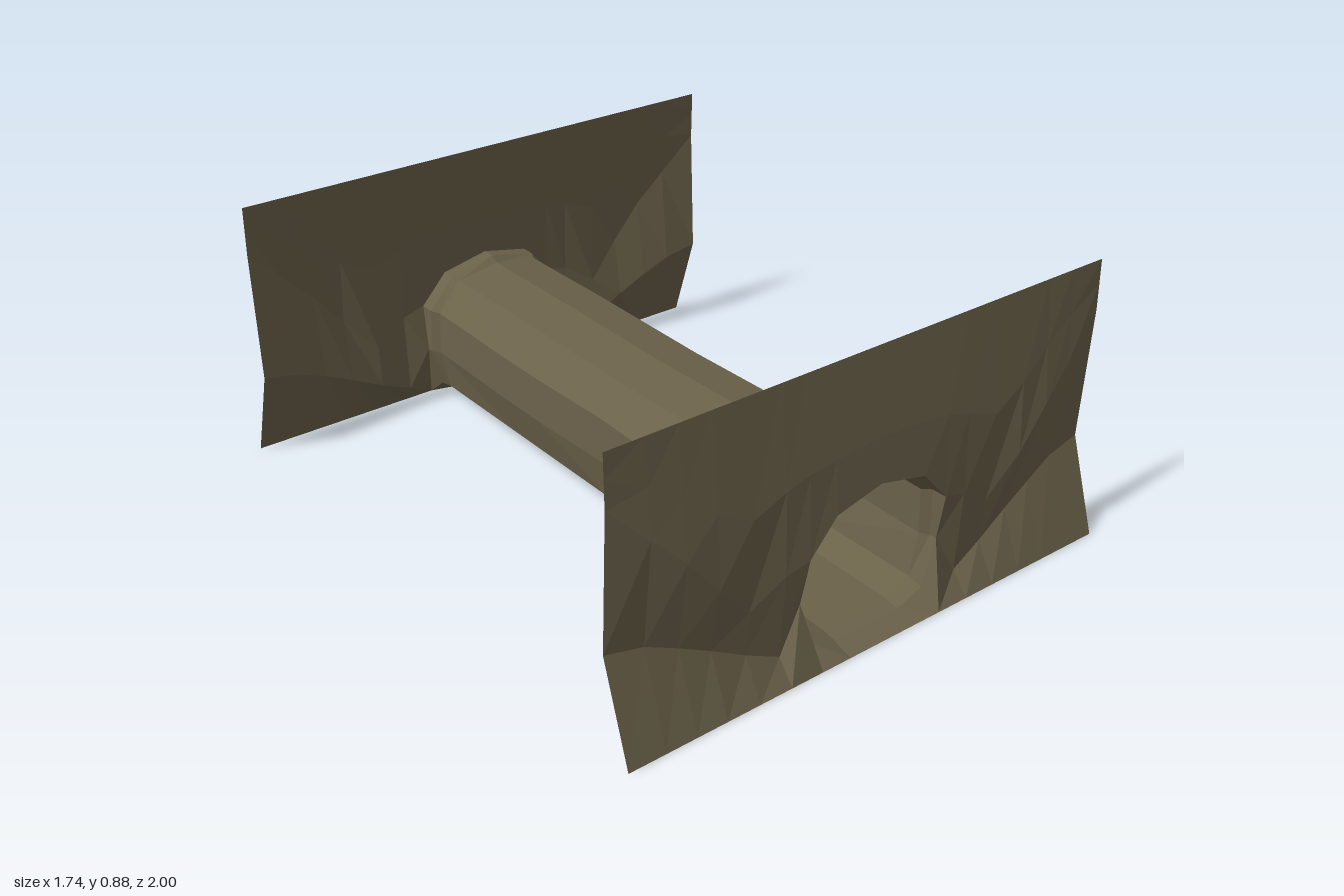
import * as THREE from 'three';

// Mouth outline of the hole, right half from floor to crown: x, y, z
const MOUTH = [
  [0.12, 0, 1], [0.22, 0, 1], [0.255, 0.2, 0.935],
  [0.25, 0.35, 0.962], [0.16, 0.45, 0.96], [0, 0.485, 0.957],
];
// Tunnel cross-section, right half, in the same order: x, y
const BORE = [[0.12, 0.03], [0.21, 0.065], [0.237, 0.2], [0.232, 0.345], [0.15, 0.443], [0, 0.467]];
const TOP = 0.875;

// Joins rows of points into a sheet; null entries leave gaps
function sheet(rows, material, name) {
  const pos = [];
  for (let i = 0; i < rows.length - 1; i++) {
    for (let j = 0; j < rows[i].length - 1; j++) {
      const a = rows[i][j], b = rows[i + 1][j], c = rows[i + 1][j + 1], d = rows[i][j + 1];
      if (!a || !b || !c || !d) continue;
      pos.push(...a, ...b, ...c, ...a, ...c, ...d);
    }
  }
  const geometry = new THREE.BufferGeometry();
  geometry.setAttribute('position', new THREE.Float32BufferAttribute(pos, 3));
  geometry.computeVertexNormals();
  const mesh = new THREE.Mesh(geometry, material);
  mesh.name = name;
  return mesh;
}

// Closed ring made by mirroring a right half profile
function ring(half) {
  const left = half.slice(0, -1).reverse().map(([x, y, z]) => [-x, y, z]);
  return [...half, ...left, half[0]];
}

// Columns of the end wall from the hole outwards
function wallColumns() {
  const [, foot, side, shoulder, haunch, crown] = MOUTH;
  const over = (p, midY, midZ) => [[p[0], midY, midZ], [p[0], TOP, 0.915]];
  const cols = [
    [null, null, crown, ...over(crown, 0.62, 0.946)],
    [null, null, haunch, ...over(haunch, 0.61, 0.947)],
    [foot, side, shoulder, ...over(shoulder, 0.6, 0.948)],
  ];
  // x, valley height and depth, ridge height and depth, upper height and depth
  const outer = [
    [0.33, 0.07, 0.945, 0.33, 0.958, 0.58, 0.949],
    [0.44, 0.12, 0.935, 0.26, 0.944, 0.54, 0.952],
    [0.55, 0.18, 0.926, 0.38, 0.958, 0.6, 0.945],
    [0.65, 0.23, 0.918, 0.5, 0.953, 0.68, 0.934],
    [0.75, 0.275, 0.908, 0.6, 0.938, 0.74, 0.925],
    [0.87, 0.3, 0.902, 0.72, 0.919, 0.8, 0.917],
  ];
  for (const [x, y1, z1, y2, z2, y3, z3] of outer) {
    cols.push([[x, 0, 1], [x, y1, z1], [x, y2, z2], [x, y3, z3], [x, TOP, 0.915]]);
  }
  return cols;
}

export function createModel() {
  const model = new THREE.Group();
  model.name = 'tunnel';
  const earth = new THREE.MeshStandardMaterial({ color: 0x6b624a, side: THREE.DoubleSide });
  earth.name = 'earth brown';
  earth.flatShading = true;

  // Flared mouth and end wall, built once and mirrored front to back
  for (const s of [1, -1]) {
    const end = new THREE.Group();
    end.name = s > 0 ? 'frontEnd' : 'backEnd';
    const flip = (rows, sx = 1) => rows.map((r) => r.map((p) => p && [p[0] * sx, p[1], p[2] * s]));

    const columns = wallColumns();
    const right = flip(columns);
    const left = flip(columns, -1);
    const order = s > 0 ? [...left.reverse(), ...right.slice(1)] : [...right.reverse(), ...left.slice(1)];
    end.add(sheet(order, earth, 'endWall'));

    const collar = MOUTH.map(([x, y], i) => (i < 2 ? [BORE[i][0], BORE[i][1] - 0.01, 0.935] : [x, y, 0.912]));
    const neck = BORE.map(([x, y]) => [x, y, 0.885]);
    const rings = flip([ring(neck), ring(collar), ring(MOUTH)]);
    end.add(sheet(s > 0 ? rings : rings.reverse(), earth, 'mouthCollar'));
    model.add(end);
  }

  // Long bore with slightly uneven walls
  const bore = [-0.885, -0.5, -0.28, 0, 0.28, 0.5, 0.885].map((z) => {
    const sag = 0.008 * Math.max(0, 1 - Math.abs(z) / 0.55);
    const swell = Math.abs(z) > 0.2 && Math.abs(z) < 0.6 ? 0.008 : 0;
    return ring(BORE.map(([x, y], i) => [x + (i === 2 || i === 3 ? swell : 0), y - (i > 3 ? sag : 0), z]));
  });
  model.add(sheet(bore, earth, 'tunnelBore'));

  return model;
}
